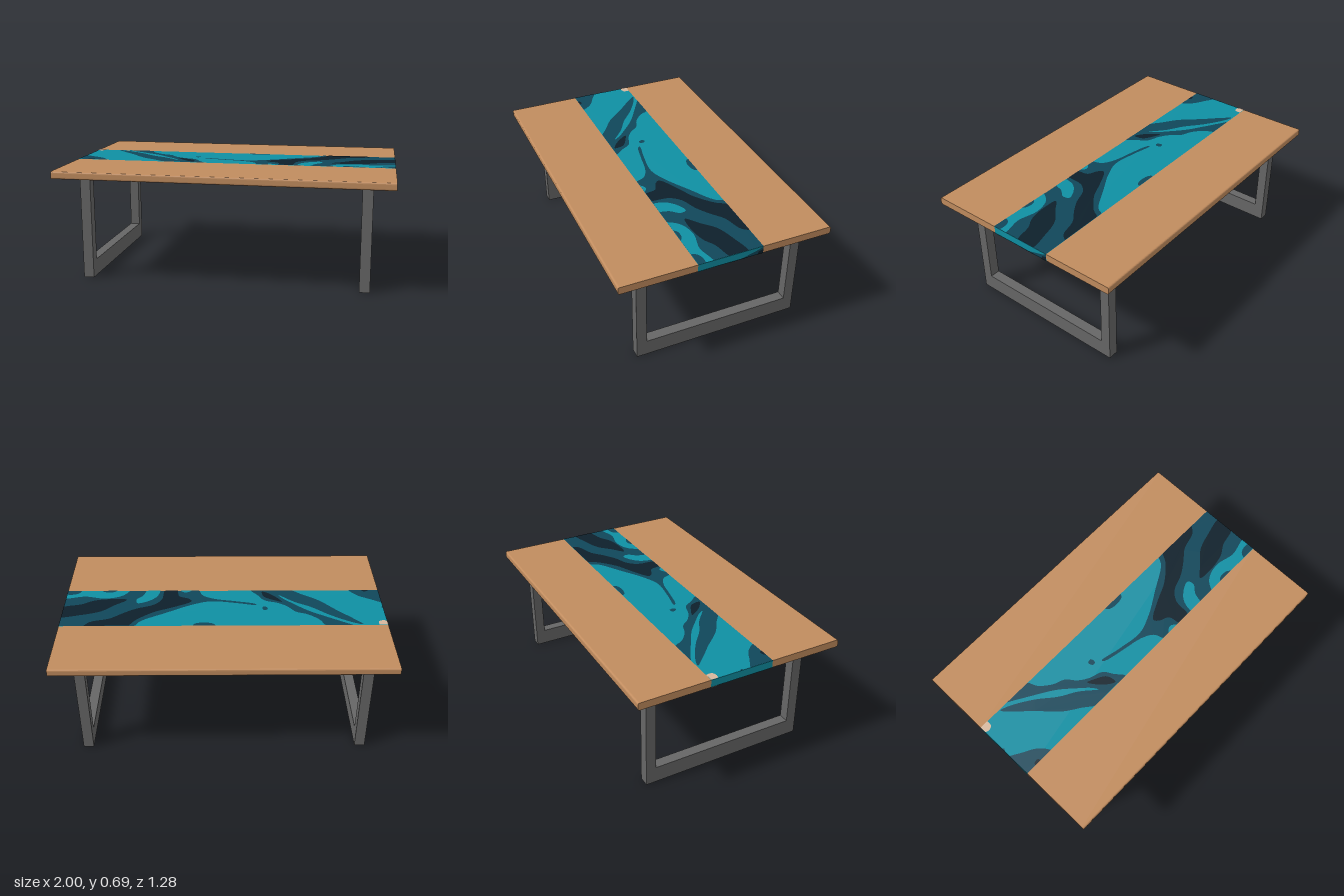
import * as THREE from 'three';

const mat = (name, color, side = THREE.FrontSide) => {
  const m = new THREE.MeshStandardMaterial({ color, side });
  m.name = name;
  return m;
};

const TOP = 0.688, UNDER = 0.642;        // slab faces
const BACK = -0.207, FRONT = 0.186;      // resin channel edges
const EDGE = 0.64;                       // outer slab edge

export function createModel() {
  const group = new THREE.Group();
  const wood = mat('wood', 0xc18c5e);
  const metal = mat('metal', 0x666666);
  const teal = mat('teal resin', 0x0f8fa3, THREE.DoubleSide);
  const navy = mat('navy resin', 0x10475a, THREE.DoubleSide);
  const ink = mat('ink resin', 0x0d202b, THREE.DoubleSide);
  const pale = mat('pale resin', 0xd6b79d, THREE.DoubleSide);

  const add = (name, geometry, material) => {
    const mesh = new THREE.Mesh(geometry, material);
    mesh.name = name;
    group.add(mesh);
    return mesh;
  };

  // Extrude a (z, y) profile along x, centred at cx
  const alongX = (shape, width, cx) =>
    new THREE.ExtrudeGeometry(shape, { depth: width, bevelEnabled: false, curveSegments: 5 })
      .translate(0, 0, -width / 2).rotateY(-Math.PI / 2).translate(cx, 0, 0);

  // Wooden planks with a rounded outer edge
  const plank = (name, inner, s) => {
    const r = 0.012, o = s * EDGE, p = new THREE.Shape();
    p.moveTo(inner, UNDER);
    p.lineTo(o - s * r, UNDER);
    p.quadraticCurveTo(o, UNDER, o, UNDER + r);
    p.lineTo(o, TOP - r);
    p.quadraticCurveTo(o, TOP, o - s * r, TOP);
    p.lineTo(inner, TOP);
    p.closePath();
    add(name, alongX(p, 2, 0), wood);
  };
  plank('frontPlank', FRONT, 1);
  plank('backPlank', BACK, -1);

  // Resin river between the planks
  add('resinRiver', new THREE.BoxGeometry(2, TOP - UNDER, FRONT - BACK), teal)
    .position.set(0, (TOP + UNDER) / 2, (FRONT + BACK) / 2);

  // Swirls: smooth outlines in hundredths of (x, z), clipped to the channel, on both faces
  const swirl = (name, material, layer, pts) => {
    const ctrl = [];
    for (let i = 0; i < pts.length; i += 2) ctrl.push(new THREE.Vector3(pts[i] / 100, pts[i + 1] / 100, 0));
    const outline = new THREE.CatmullRomCurve3(ctrl, true, 'centripetal').getPoints(ctrl.length * 5).slice(0, -1)
      .map(p => new THREE.Vector2(THREE.MathUtils.clamp(p.x, -1, 1), THREE.MathUtils.clamp(p.y, BACK, FRONT)));
    const flat = new THREE.ShapeGeometry(new THREE.Shape(outline)).rotateX(Math.PI / 2);
    const lift = layer * 0.0012;
    add(name + 'Under', flat.clone().translate(0, UNDER - lift, 0), material);
    // reverse the winding so that the upper copy faces up
    const up = flat.translate(0, TOP + lift, 0), idx = up.index.array;
    for (let i = 0; i < idx.length; i += 3) [idx[i], idx[i + 1]] = [idx[i + 1], idx[i]];
    up.computeVertexNormals();
    add(name + 'Top', up, material);
  };

  swirl('longStripe', navy, 1, [-85, -20, -79, -18, -66, -10, -55, -1, -45, 5, -38, 11, -31, 18, -33, 22,
    -42, 20, -50, 14, -60, 7, -71, -5, -79, -13]);
  swirl('secondStripe', navy, 1, [-80, -22, -63, -22, -59, -15, -52, -9, -45, -6, -40, 0, -34, 4, -26, 7,
    -22, 13, -18, 19, -31, 20, -37, 10, -44, 3, -53, -5, -64, -12, -74, -18]);
  swirl('stripeCore', ink, 2, [-37, 5, -32, 7, -26, 11, -25, 17, -29, 15, -34, 10]);
  swirl('leftCorner', navy, 1, [-102, 4, -93, 8, -85, 13, -81, 20, -102, 22]);
  swirl('leftFleck', ink, 2, [-93, 17.5, -90, 17, -89, 20, -93, 20]);
  swirl('leftSpot', navy, 1, [-101, -3, -99, -1.5, -101, 0.5]);
  swirl('paleCorner', pale, 2, [-102, -22, -95, -21, -95, -17, -98, -16, -102, -18]);
  swirl('smallDot', navy, 1, [-27.5, -3.5, -25, -3.8, -24.5, -1, -26, 0, -27.5, -1.5]);
  swirl('backFleck', navy, 1, [5, -22, 18, -22, 18, -19, 12, -17.5, 6, -19]);

  // Large dark pool at the right with ink veins and teal islands
  swirl('darkPool', navy, 1, [-21, 1.5, -8, 4, 8, 6, 20, 2, 36, -7, 51, -16, 56, -23, 103, -23,
    103, 22, 18, 22, 13, 13, 6, 9, -8, 6, -20, 3]);
  swirl('inkVein', ink, 2, [20, 6, 32, -1, 43, -6, 54, -15, 60, -23, 85, -23, 82, -17, 70, -13, 62, -7,
    54, -2, 44, 2, 39, 8, 37, 20, 30, 20, 28, 12, 22, 9]);
  swirl('inkBranch', ink, 2, [102, -11, 88, -9, 76, -5, 68, 2, 61, 8, 70, 9, 82, 7, 89, 3, 102, -1]);
  swirl('tealIsland', teal, 2, [41, 21, 42, 12, 48, 6, 54, 4, 55, 8, 51, 13, 48, 21]);
  swirl('tealShore', teal, 2, [60, 21, 64, 13, 75, 9.5, 88, 12, 102, 10, 102, 21]);
  swirl('shoreFleck', navy, 3, [91, 20, 92, 16, 96, 14, 102, 15, 102, 18, 96, 20]);
  swirl('shoreSpot', navy, 3, [68, 20, 70, 17, 76, 17, 79, 20]);
  swirl('tealBump', teal, 2, [20, 20, 22, 17, 25, 16.5, 28, 20]);

  // Colour on the right end of the river, as (z, y) outlines
  const endPatch = (name, material, x, pts) =>
    add(name, new THREE.ShapeGeometry(new THREE.Shape(pts.map(p => new THREE.Vector2(...p))))
      .rotateY(-Math.PI / 2).translate(x, 0, 0), material);
  endPatch('endNavy', navy, 1.001, [[-0.065, UNDER], [BACK, UNDER], [BACK, TOP], [-0.18, 0.674], [-0.12, 0.657]]);
  endPatch('endInk', ink, 1.002, [[-0.17, UNDER], [BACK, UNDER], [BACK, 0.67], [-0.178, 0.662]]);

  // U-shaped leg frames
  for (const [name, x] of [['leftLegFrame', 0.843], ['rightLegFrame', -0.846]]) {
    const u = new THREE.Shape([[-0.532, 0], [0.492, 0], [0.492, UNDER], [0.43, UNDER], [0.43, 0.102],
      [-0.472, 0.102], [-0.472, UNDER], [-0.532, UNDER]].map(p => new THREE.Vector2(...p)));
    add(name, alongX(u, 0.063, x), metal);
  }
  return group;
}
